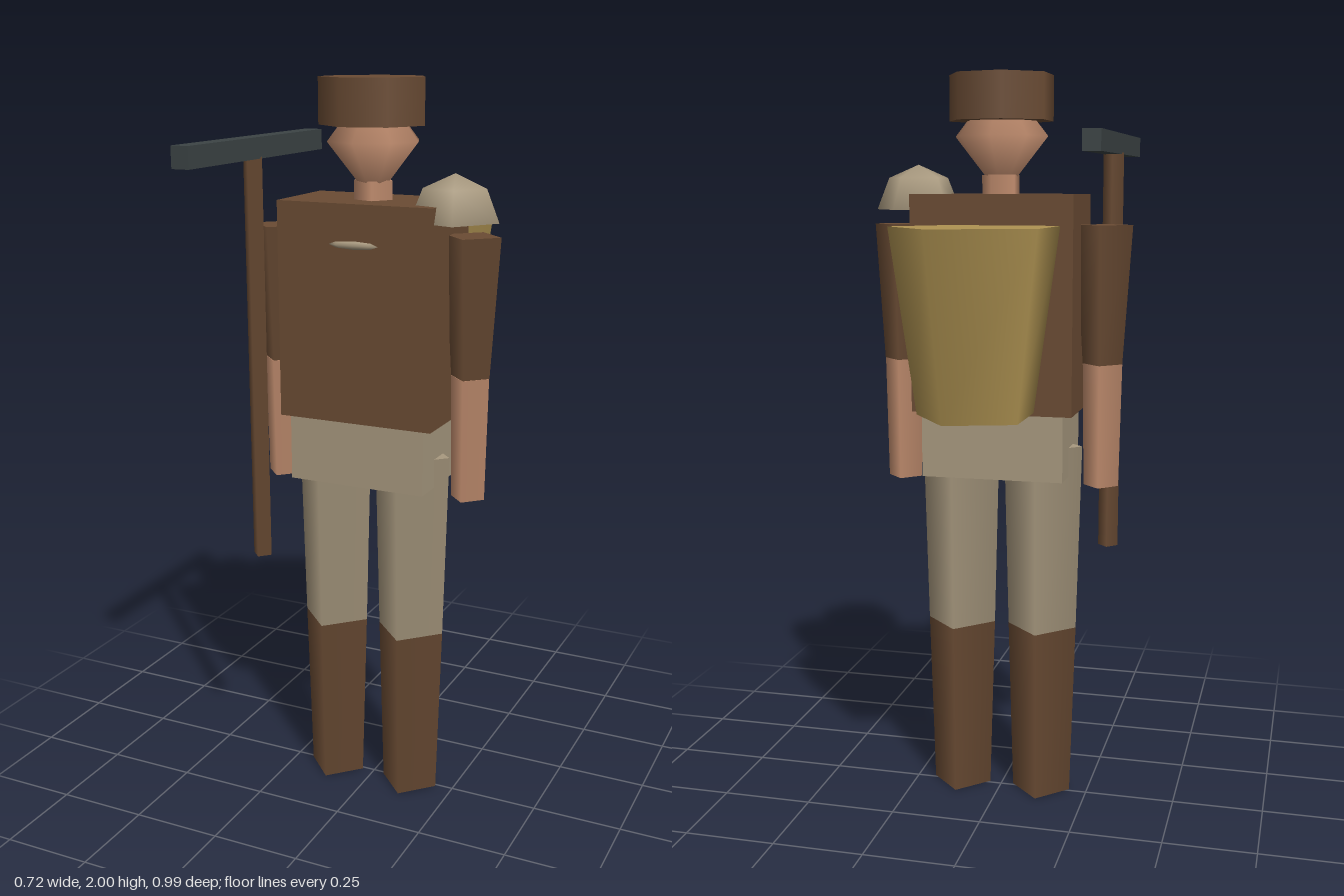
import * as THREE from 'three';

const mat = (name, color, side = THREE.FrontSide) => {
  const m = new THREE.MeshStandardMaterial({ color, side });
  m.name = name;
  return m;
};

export function createModel() {
  const brown = mat('leather brown', 0x6b4c34);
  const linen = mat('linen', 0xa8997f, THREE.DoubleSide);
  const skin = mat('skin', 0xc48f70);
  const straw = mat('straw', 0xaf9352);
  const iron = mat('dark iron', 0x3c4445);

  const model = new THREE.Group();
  model.name = 'travellingMiner';

  const add = (name, geometry, material, x, y, z) => {
    const mesh = new THREE.Mesh(geometry, material);
    mesh.name = name;
    mesh.position.set(x, y, z);
    model.add(mesh);
    return mesh;
  };

  // Box given by its centre and size
  const box = (name, material, [w, h, d], [x, y, z]) =>
    add(name, new THREE.BoxGeometry(w, h, d), material, x, y, z);

  // Tapered prism between two heights, with one corner on +x
  const prism = (name, material, sides, y0, y1, r0, r1, x, z) => {
    const g = new THREE.CylinderGeometry(r1, r0, y1 - y0, sides).rotateY(Math.PI / 2);
    return add(name, g, material, x, (y0 + y1) / 2, z);
  };

  // Body
  box('tunic', brown, [0.44, 0.58, 0.25], [0, 1.4, 0.005]);
  box('hips', linen, [0.39, 0.18, 0.23], [0, 1.02, 0.005]);
  const clasp = add('chestClasp', new THREE.SphereGeometry(1, 8, 4), linen, 0, 1.585, 0.13);
  clasp.scale.set(0.07, 0.011, 0.009);

  // Legs and arms
  for (const [side, s] of [['left', 1], ['right', -1]]) {
    prism(side + 'Boot', brown, 4, 0, 0.49, 0.083, 0.097, s * 0.117, 0.008);
    prism(side + 'Trouser', linen, 4, 0.49, 1.01, 0.097, 0.11, s * 0.117, 0.008);
    prism(side + 'Sleeve', brown, 4, 1.24, 1.61, 0.054, 0.077, s * 0.28, 0.004);
    prism(side + 'Forearm', skin, 4, 0.905, 1.24, 0.048, 0.054, s * 0.28, 0.006);
  }

  // Neck, pointed head and cap
  prism('neck', skin, 5, 1.67, 1.74, 0.053, 0.053, 0, 0.003);
  const head = add('head', new THREE.SphereGeometry(0.127, 8, 2), skin, 0, 1.84, 0.005);
  head.scale.y = 1.25;
  prism('cap', brown, 7, 1.88, 2, 0.143, 0.143, 0, 0.003);

  // Domed pad on the left shoulder
  const dome = new THREE.SphereGeometry(0.12, 5, 2, 0, Math.PI * 2, 0, Math.PI / 2);
  add('shoulderPad', dome.rotateY(Math.PI), linen, 0.238, 1.648, 0.026);

  // Basket on the back
  prism('backBasket', straw, 5, 1.13, 1.61, 0.16, 0.232, -0.002, -0.275);

  // Pick held at the right side
  prism('pickHandle', brown, 4, 0.7, 1.8, 0.028, 0.028, -0.28, 0.145);
  box('pickHead', iron, [0.048, 0.055, 0.69], [-0.279, 1.823, 0.145]);

  return model;
}
